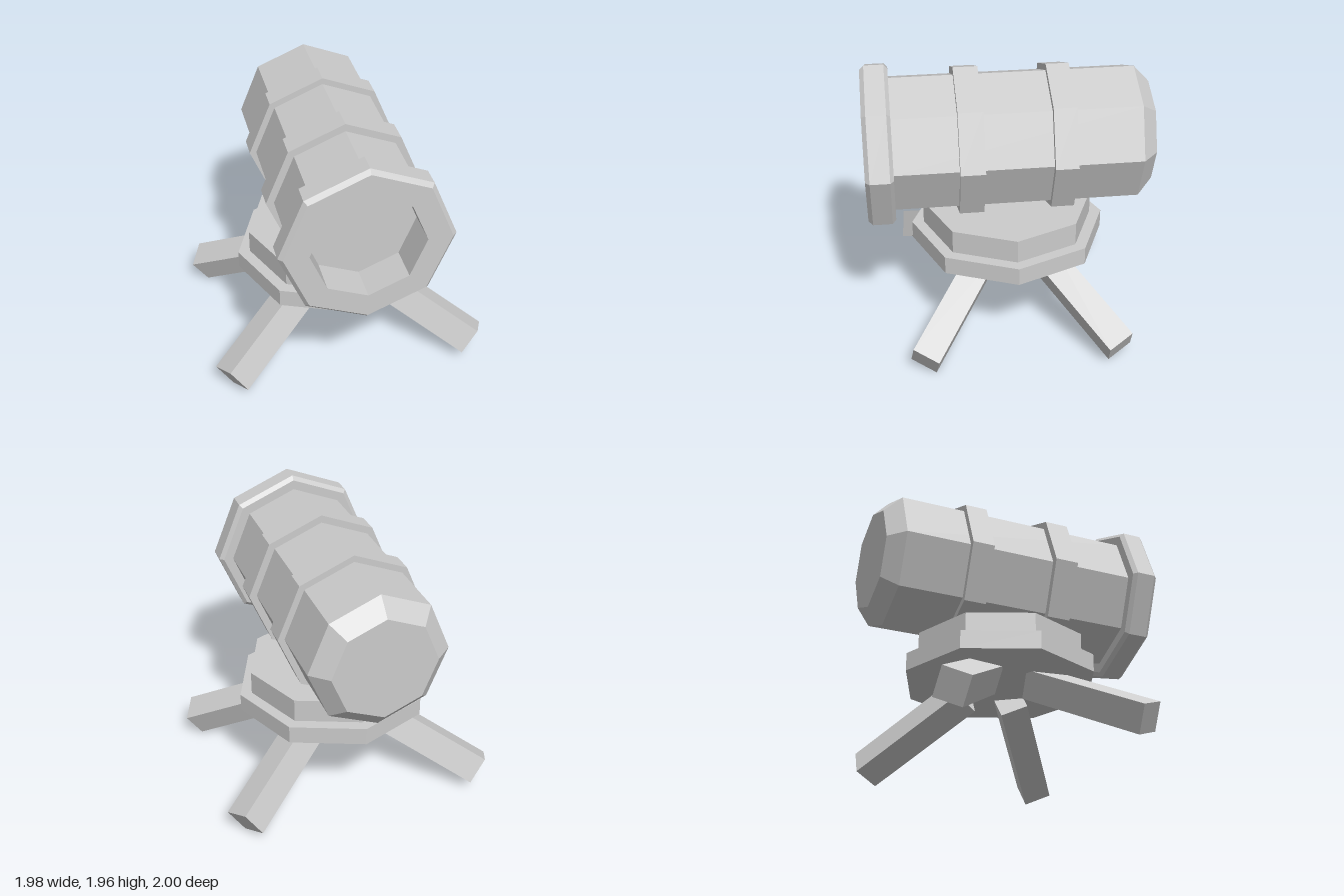
import * as THREE from 'three';

const material = new THREE.MeshStandardMaterial({ color: 0xcccccc, flatShading: true });
const AXIS_Y = 1.38; // height of the barrel's centre line

function addMesh(parent, name, geometry) {
  const flat = geometry.index ? geometry.toNonIndexed() : geometry;
  flat.computeVertexNormals();
  const mesh = new THREE.Mesh(flat, material);
  mesh.name = name;
  parent.add(mesh);
  return mesh;
}

// Eight-sided turned part; profile pairs are [radius, z], from back to front
function addTurned(parent, name, profile) {
  const points = profile.map(([r, z]) => new THREE.Vector2(r, z));
  const geometry = new THREE.LatheGeometry(points, 8).rotateX(Math.PI / 2);
  addMesh(parent, name, geometry).position.y = AXIS_Y;
}

function addPlate(parent, name, radius, bottom, top) {
  const geometry = new THREE.CylinderGeometry(radius, radius, top - bottom, 8);
  addMesh(parent, name, geometry).position.set(0, (bottom + top) / 2, -0.005);
}

// Splayed square leg, mirrored by the signs sx and sz
function addLeg(parent, name, sx, sz) {
  const along = new THREE.Vector3(-0.695 * sx, 0.42, -0.505 * sz);
  const length = along.length();
  along.normalize();
  const across = new THREE.Vector3(0.08 * sx, -0.07, -0.165 * sz);
  across.addScaledVector(along, -across.dot(along)).normalize();
  const third = new THREE.Vector3().crossVectors(across, along);
  const mesh = addMesh(parent, name, new THREE.BoxGeometry(0.2, length, 0.205));
  mesh.quaternion.setFromRotationMatrix(new THREE.Matrix4().makeBasis(across, along, third));
  mesh.position.set(0.545 * sx, 0.341, 0.432 * sz - 0.014);
}

export function createModel() {
  const model = new THREE.Group();
  model.name = 'cannon';

  // Barrel with tapered back, flared muzzle rim and shallow bore
  addTurned(model, 'barrel', [
    [0, -1], [0.37, -1], [0.49, -0.89], [0.49, 0.81],
    [0.56, 0.81], [0.59, 0.835], [0.59, 0.97], [0.56, 1],
    [0.39, 1], [0.39, 0.75], [0, 0.75],
  ]);

  // Raised bands
  addTurned(model, 'frontBand', [[0.48, 0.2], [0.545, 0.2], [0.545, 0.37], [0.48, 0.37]]);
  addTurned(model, 'backBand', [[0.48, -0.43], [0.537, -0.43], [0.537, -0.27], [0.48, -0.27]]);

  // Stepped base
  addPlate(model, 'upperBase', 0.615, 0.71, 0.88);
  addPlate(model, 'lowerBase', 0.7, 0.58, 0.71);

  // Four legs
  for (const sx of [1, -1]) {
    for (const sz of [1, -1]) {
      addLeg(model, (sz > 0 ? 'front' : 'back') + (sx > 0 ? 'Left' : 'Right') + 'Leg', sx, sz);
    }
  }
  return model;
}
